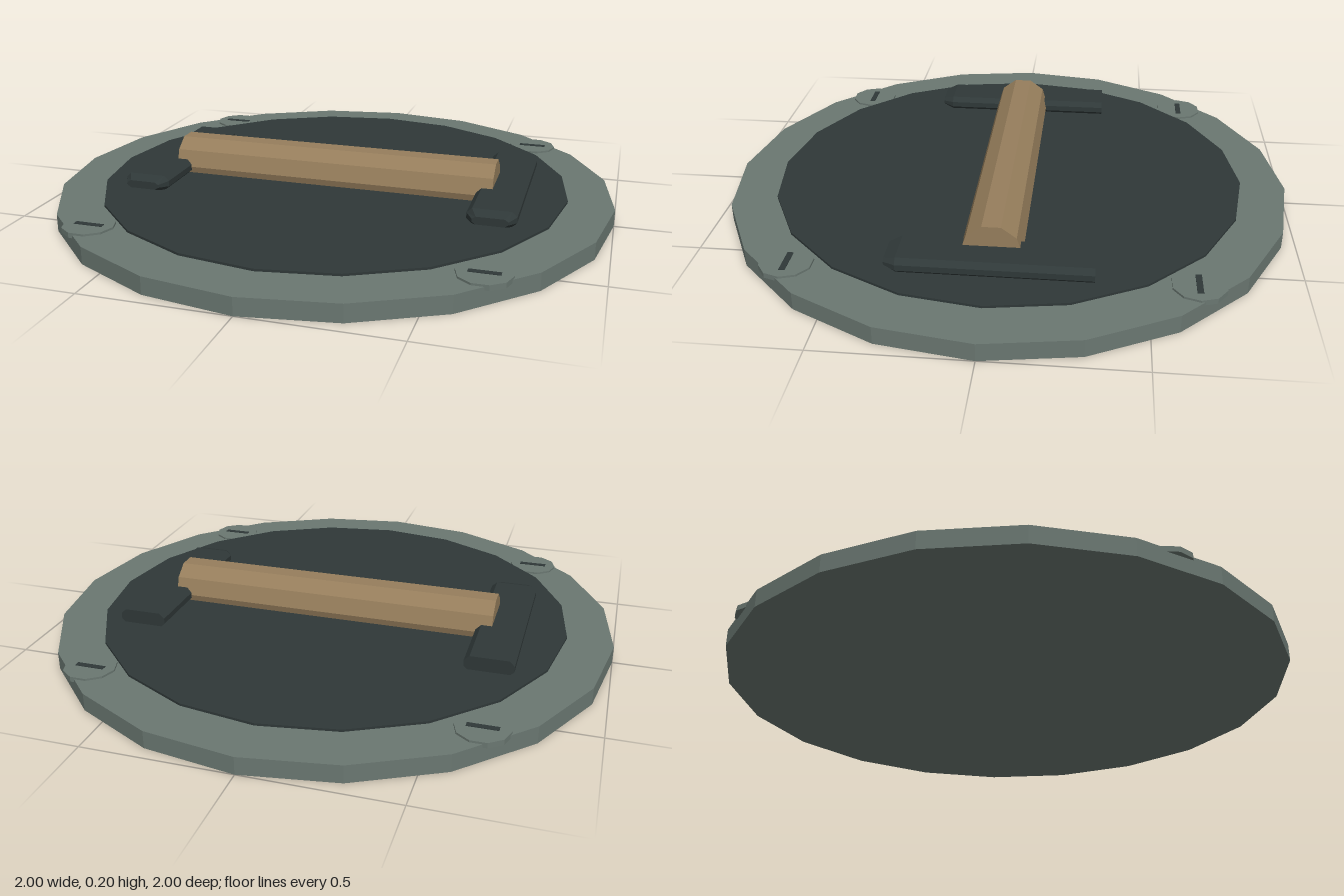
import * as THREE from 'three';

const mat = (name, color) => {
  const m = new THREE.MeshStandardMaterial({ color, flatShading: true });
  m.name = name;
  return m;
};

export function createModel() {
  const group = new THREE.Group();
  const grey = mat('greyMetal', 0x6a7771);
  const dark = mat('darkMetal', 0x2f3838);
  const wood = mat('wood', 0x967e5c);

  const add = (name, geometry, material, x, y, z) => {
    const mesh = new THREE.Mesh(geometry, material);
    mesh.name = name;
    mesh.position.set(x, y, z);
    group.add(mesh);
    return mesh;
  };

  // Round base and the thin plate held just above it
  add('base', new THREE.CylinderGeometry(1, 1, 0.06, 20), grey, 0, 0.03, 0);
  add('coverPlate', new THREE.CylinderGeometry(0.84, 0.84, 0.008, 20), dark, 0, 0.072, 0);

  // Ten-sided grip lying along x
  const grip = new THREE.CylinderGeometry(0.1, 0.1, 1.18, 10).rotateZ(Math.PI / 2);
  add('handle', grip, wood, 0, 0.1, 0);

  // Chamfered side bar: octagonal section, tapered at the front end only
  const section = new THREE.Shape([
    [0.083, -0.01], [0.083, 0.01], [0.065, 0.027], [-0.065, 0.027],
    [-0.083, 0.01], [-0.083, -0.01], [-0.065, -0.027], [0.065, -0.027],
  ].map(([x, y]) => new THREE.Vector2(x, y)));
  const bar = new THREE.ExtrudeGeometry(section, { depth: 1, steps: 2, bevelEnabled: false });
  const p = bar.attributes.position;
  for (let i = 0; i < p.count; i++) {
    const t = p.getZ(i);
    const front = t > 0.9;
    p.setXYZ(i, p.getX(i) * (front ? 0.72 : 1), p.getY(i) * (front ? 0.5 : 1),
      front ? 0.33 : t > 0.1 ? 0.29 : -0.33);
  }
  bar.computeVertexNormals();

  // Slotted screws round the rim
  const screw = new THREE.CylinderGeometry(0.088, 0.088, 0.018, 10).rotateY(Math.PI / 2);
  const slot = new THREE.BoxGeometry(0.1, 0.006, 0.02);
  for (const sx of [-1, 1]) {
    const side = sx > 0 ? 'left' : 'right';
    add(side + 'Bar', bar, dark, sx * 0.617, 0.098, 0);
    for (const sz of [-1, 1]) {
      const end = sz > 0 ? 'Front' : 'Back';
      add(side + end + 'Screw', screw, grey, sx * 0.65, 0.058, sz * 0.65);
      add(side + end + 'ScrewSlot', slot, dark, sx * 0.65, 0.066, sz * 0.65);
    }
  }
  return group;
}
